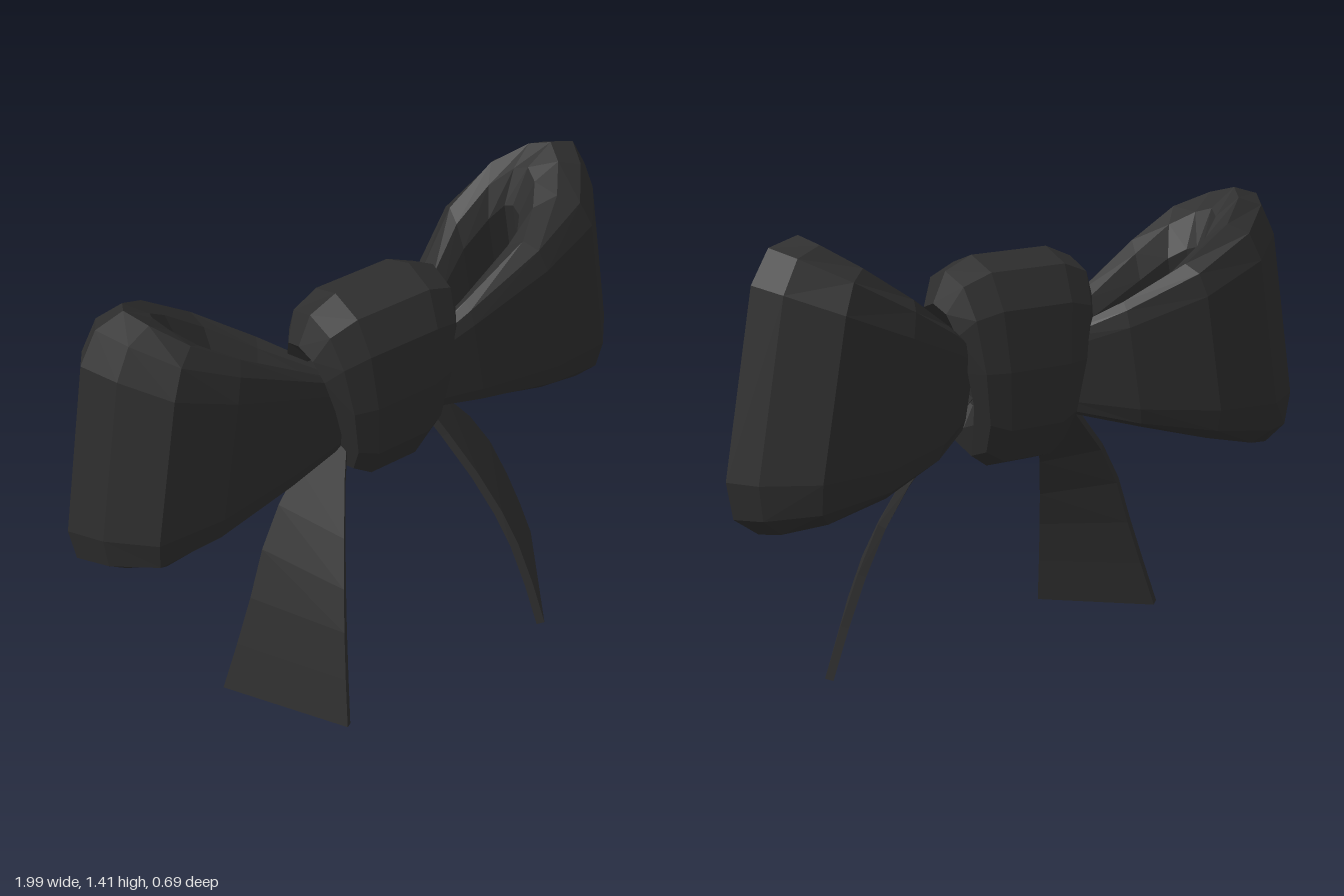
import * as THREE from 'three';

const ribbon = new THREE.MeshStandardMaterial({ color: 0x2e2e2e, flatShading: true });
ribbon.name = 'black ribbon';

// Skins closed cross-sections; the run is either joined end to end or capped.
function skin(name, rings, joined) {
  const n = rings[0].length, m = rings.length;
  const pos = rings.flat(2);
  const index = [];
  for (let i = 0; i < (joined ? m : m - 1); i++) {
    for (let j = 0; j < n; j++) {
      const k = (j + 1) % n, r = ((i + 1) % m) * n;
      index.push(i * n + j, i * n + k, r + k, i * n + j, r + k, r + j);
    }
  }
  if (!joined) {
    const e = (m - 1) * n;
    for (let j = 1; j < n - 1; j++) index.push(0, j + 1, j, e, e + j, e + j + 1);
  }
  // Signed volume tells whether the faces point outward
  const p = (i) => new THREE.Vector3().fromArray(pos, i * 3);
  let volume = 0;
  for (let t = 0; t < index.length; t += 3) {
    volume += p(index[t]).dot(p(index[t + 1]).cross(p(index[t + 2])));
  }
  if (volume < 0) index.reverse();
  const indexed = new THREE.BufferGeometry();
  indexed.setAttribute('position', new THREE.Float32BufferAttribute(pos, 3));
  indexed.setIndex(index);
  const geometry = indexed.toNonIndexed();
  geometry.computeVertexNormals();
  const mesh = new THREE.Mesh(geometry, ribbon);
  mesh.name = name;
  return mesh;
}

const mix = THREE.MathUtils.lerp;

// Padded loop: stations of outer (u, z) and inner (u, z), flaring away from the knot
function makeLoop(side, name) {
  const stations = [
    [0.15, 0.03, 0.20, -0.03], [0.33, 0.06, 0.35, -0.035], [0.60, 0.09, 0.52, -0.05],
    [0.80, 0.07, 0.62, -0.07], [0.91, -0.05, 0.665, -0.11], [0.965, -0.15, 0.675, -0.15],
    [0.91, -0.235, 0.665, -0.18], [0.77, -0.335, 0.61, -0.195], [0.55, -0.34, 0.50, -0.19],
    [0.33, -0.235, 0.37, -0.14], [0.18, -0.10, 0.20, -0.06],
  ];
  // Fraction from outer to inner face, fraction of the half height
  const half = [[0, 0.65], [0.13, 0.9], [0.42, 1], [0.75, 0.9], [1, 0.65]];
  const section = [...half, ...half.map(([f, v]) => [f, -v]).reverse()];
  const tilt = THREE.MathUtils.degToRad(10), c = Math.cos(tilt), s = Math.sin(tilt);
  const rings = stations.map(([ou, oz, iu, iz]) => {
    const h = 0.05 + 0.435 * mix(ou, iu, 0.42);
    return section.map(([f, v]) => {
      const u = mix(ou, iu, f);
      return [side * (u * c - v * h * s), 0.86 + u * s + v * h * c, mix(oz, iz, f)];
    });
  });
  return skin(name, rings, true);
}

// Knot: a padded band around the x axis, wider at the top
function makeKnot() {
  const half = [[0.5, 1], [0.84, 0.88], [1, 0.6], [0.8, 0.4]];
  const section = [...half, ...half.map(([w, r]) => [-w, r]).reverse()];
  const rings = [];
  for (let i = 0; i < 12; i++) {
    const a = (i / 12) * Math.PI * 2;
    const z = Math.sign(Math.sin(a)) * Math.abs(Math.sin(a)) ** 0.75 * 0.172;
    const y = Math.sign(Math.cos(a)) * Math.abs(Math.cos(a)) ** 0.85 * 0.323;
    const w = 0.212 + 0.16 * y;
    rings.push(section.map(([f, r]) => [f * w, 0.958 + y * r, -0.04 + z * r]));
  }
  return skin('knot', rings, true);
}

// Tail: a thin curved strip between a front edge and a back edge
function makeTail(side, name) {
  const V = (x, y, z) => new THREE.Vector3(x, y, z);
  const front = new THREE.CatmullRomCurve3([
    V(0.10, 0.86, -0.02), V(0.17, 0.72, 0.05), V(0.27, 0.48, 0.18), V(0.33, 0.27, 0.265), V(0.375, 0.008, 0.338)]);
  const back = new THREE.CatmullRomCurve3([
    V(0.15, 0.86, -0.07), V(0.25, 0.74, -0.05), V(0.39, 0.56, -0.03), V(0.50, 0.31, 0), V(0.60, 0.045, 0.0)]);
  const rings = [];
  for (let i = 0; i <= 7; i++) {
    const a = front.getPoint(i / 7), b = back.getPoint(i / 7);
    const n = front.getTangent(i / 7).cross(b.clone().sub(a)).normalize();
    if (n.x < 0) n.negate();
    n.multiplyScalar(0.026);
    rings.push([a, b, b.clone().add(n), a.clone().add(n)].map((p) => [side * (p.x - n.x * 0.2), Math.max(p.y, 0), p.z]));
  }
  return skin(name, rings, false);
}

export function createModel() {
  const bow = new THREE.Group();
  bow.name = 'ribbonBow';
  bow.add(makeKnot());
  for (const [side, label] of [[1, 'left'], [-1, 'right']]) {
    bow.add(makeLoop(side, label + 'Loop'), makeTail(side, label + 'Tail'));
  }
  return bow;
}
